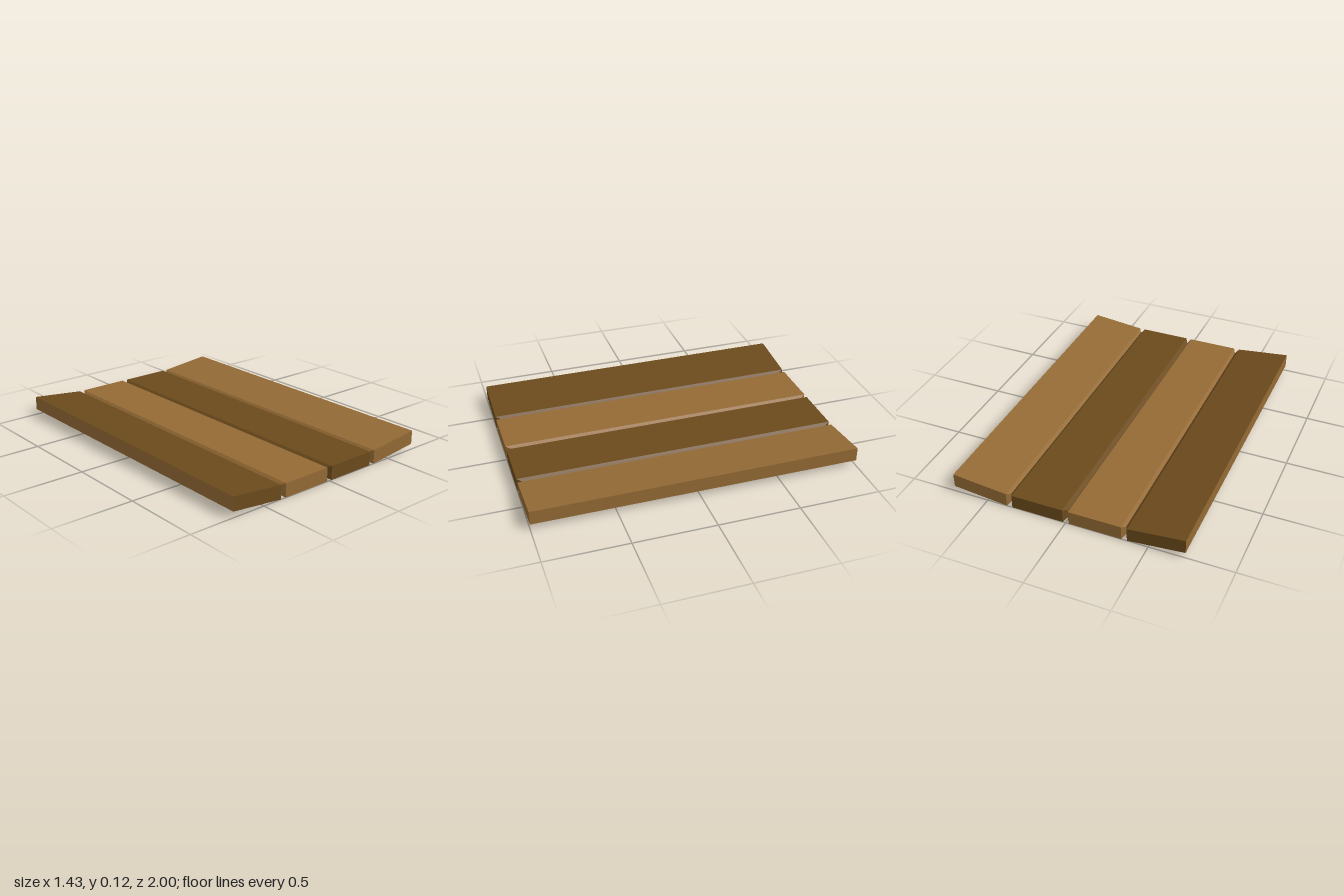
import * as THREE from 'three';

const DARK = 0x6b4a1c, LIGHT = 0x946a35;

// Loft of rectangular sections [x, yBottom, yTop, halfDepth], ordered by rising x
function loft(sections, capStart, capEnd) {
  const pos = [];
  const ring = ([x, b, t, d]) => [[x, b, d], [x, t, d], [x, t, -d], [x, b, -d]];
  const quad = (a, b, c, d) => pos.push(...a, ...b, ...c, ...a, ...c, ...d);
  for (let i = 0; i < sections.length - 1; i++) {
    const p = ring(sections[i]), q = ring(sections[i + 1]);
    for (let k = 0; k < 4; k++) {
      const n = (k + 1) % 4;
      quad(p[k], q[k], q[n], p[n]);
    }
  }
  const s = ring(sections[0]), e = ring(sections[sections.length - 1]);
  if (capStart) quad(s[0], s[1], s[2], s[3]);
  if (capEnd) quad(e[3], e[2], e[1], e[0]);
  const geo = new THREE.BufferGeometry();
  geo.setAttribute('position', new THREE.Float32BufferAttribute(pos, 3));
  geo.computeVertexNormals();
  return geo;
}

export function createModel() {
  const group = new THREE.Group();
  const dark = new THREE.MeshStandardMaterial({ color: DARK, flatShading: true });
  const light = new THREE.MeshStandardMaterial({ color: LIGHT, flatShading: true });
  const H = 0.086, W = 0.357, C = 0.018, R = 0.036, EDGE = 0.716;

  const add = (name, geo, mat) => {
    const mesh = new THREE.Mesh(geo, mat);
    mesh.name = name;
    group.add(mesh);
  };
  const seam = x => [x, 0.016, H - 0.016, 0.967]; // bevelled joint
  const full = x => [x, 0, H, 1];
  const rim = x => [x, R, R + H, 1]; // raised outer edge

  // Four planks, alternating in tone, the outer two sloping upward
  add('rightOuterPlank', loft([rim(-EDGE), full(-W - C), seam(-W)], false, true), dark);
  add('rightInnerPlank', loft([seam(-W), full(-W + C), full(-C), seam(0)], true, true), light);
  add('leftInnerPlank', loft([seam(0), full(C), full(W - C), seam(W)], true, true), dark);
  add('leftOuterPlank', loft([seam(W), full(W + C), rim(EDGE)], true, false), light);

  // Light faces closing the two outer edges
  for (const s of [-1, 1]) {
    const face = new THREE.PlaneGeometry(2, H);
    face.rotateY(s * Math.PI / 2).translate(s * EDGE, R + H / 2, 0);
    add(s < 0 ? 'rightEdgeFace' : 'leftEdgeFace', face, light);
  }
  return group;
}
